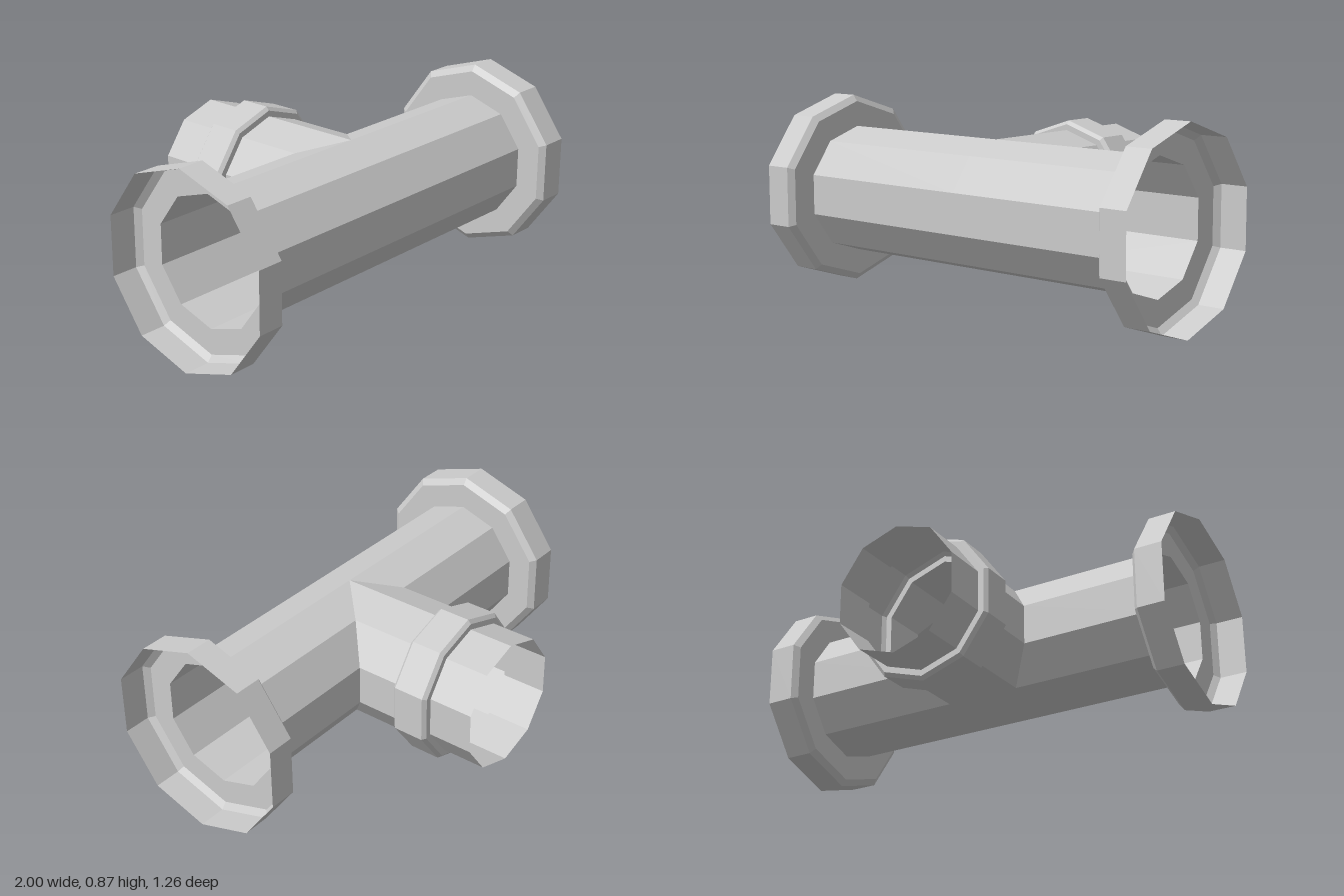
import * as THREE from 'three';

const SIDES = 10;
const PIPE_R = 0.29;
const CENTRE = [0, 0.433, 0.22]; // where the pipe axes meet

const material = new THREE.MeshStandardMaterial({
  color: 0xcccccc, flatShading: true, side: THREE.DoubleSide,
});

// Ten-sided thin-walled sleeve along +z. Each profile entry is [distance, radius];
// distance may be a function of the sideways offset, giving a mitred end.
function sleeve(name, profile) {
  const positions = [];
  const index = [];
  for (const [distance, radius] of profile) {
    for (let i = 0; i < SIDES; i++) {
      const t = (i / SIDES) * Math.PI * 2;
      const x = radius * Math.sin(t);
      const z = typeof distance === 'function' ? distance(x) : distance;
      positions.push(x, radius * Math.cos(t), z);
    }
  }
  for (let j = 0; j < profile.length - 1; j++) {
    for (let i = 0; i < SIDES; i++) {
      const a = j * SIDES + i;
      const b = j * SIDES + ((i + 1) % SIDES);
      index.push(a, a + SIDES, b, b, a + SIDES, b + SIDES);
    }
  }
  let geometry = new THREE.BufferGeometry();
  geometry.setAttribute('position', new THREE.Float32BufferAttribute(positions, 3));
  geometry.setIndex(index);
  geometry = geometry.toNonIndexed();
  geometry.computeVertexNormals();
  const mesh = new THREE.Mesh(geometry, material);
  mesh.name = name;
  return mesh;
}

function arm(name, angle, ...parts) {
  const group = new THREE.Group();
  group.name = name;
  group.position.set(...CENTRE);
  group.rotation.y = angle;
  group.add(...parts);
  return group;
}

export function createModel() {
  const model = new THREE.Group();
  model.name = 'pipeTee';

  // Two halves of the main pipe, mitred at the back, each ending in a hollow flange
  for (const side of [1, -1]) {
    const prefix = side > 0 ? 'left' : 'right';
    model.add(arm(prefix + 'Arm', side * Math.PI / 2,
      sleeve(prefix + 'Pipe', [[(x) => Math.max(0, side * x), PIPE_R], [0.855, PIPE_R]]),
      sleeve(prefix + 'Flange', [[0.855, PIPE_R], [0.855, 0.405], [0.877, 0.433], [1, 0.433]]),
    ));
  }

  // Rear branch with a bevelled collar and a short open spout
  model.add(arm('branchArm', Math.PI,
    sleeve('branchPipe', [[(x) => Math.abs(x), PIPE_R], [0.482, PIPE_R]]),
    sleeve('collar', [
      [0.482, PIPE_R], [0.482, 0.317], [0.497, 0.333],
      [0.635, 0.333], [0.65, 0.317], [0.65, PIPE_R],
    ]),
    sleeve('spout', [[0.65, PIPE_R], [0.852, PIPE_R]]),
  ));

  return model;
}
